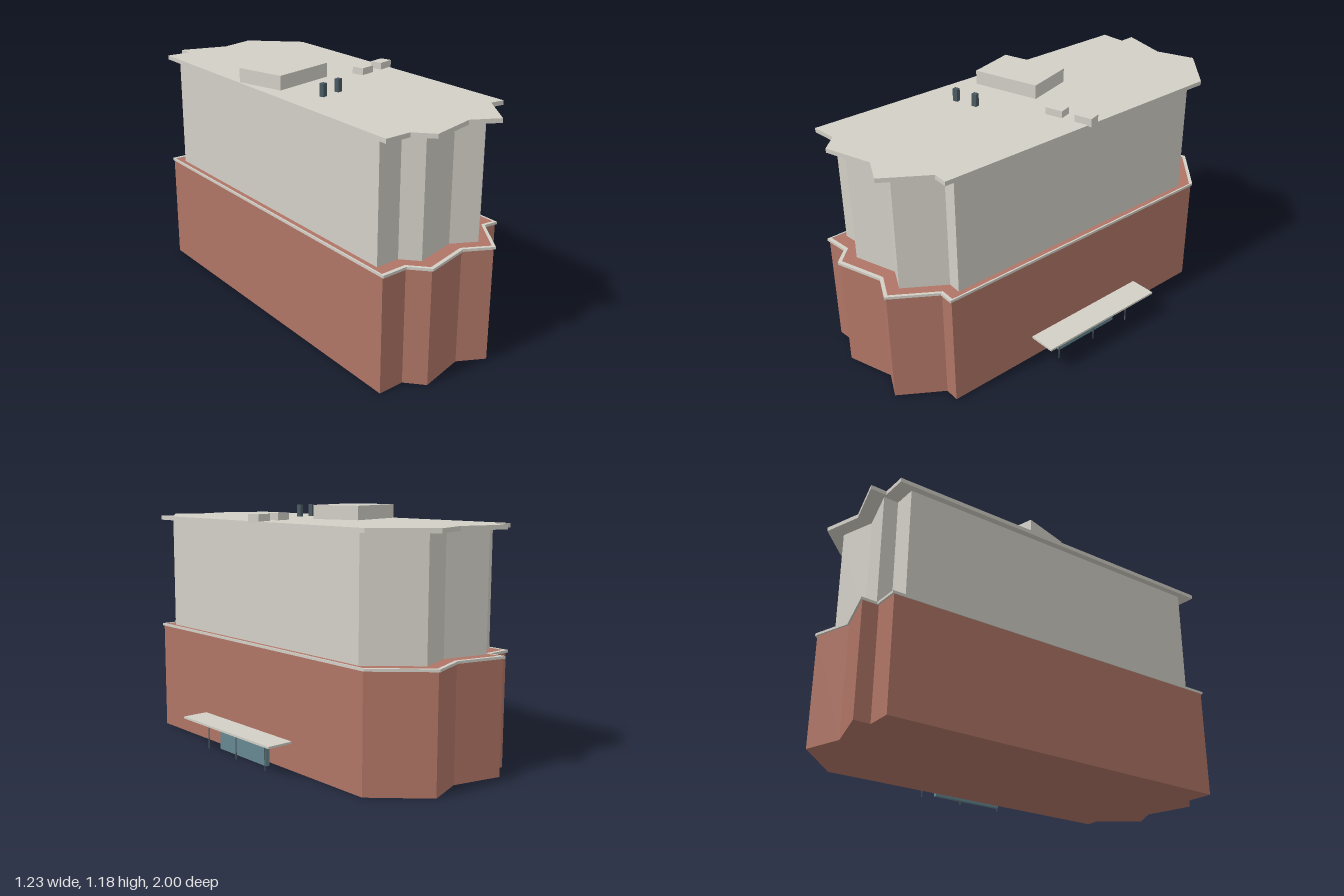
import * as THREE from 'three';

// Footprint corners as [x, z]
const PLAN = [
  [-0.612, 0.778], [-0.485, 0.803], [-0.435, 0.898], [-0.196, 0.893], [-0.09, 0.988],
  [0.09, 0.835], [0.158, 0.858], [0.578, -0.62], [0.418, -0.882], [0.224, -0.868],
  [0.01, -0.988], [-0.008, -0.912], [-0.13, -0.942],
];
const STONE = 0xd2cfc6, BRICK = 0xb07566, GLASS = 0x668790, DARK = 0x4a5a62;

const material = (color) => new THREE.MeshStandardMaterial({ color, flatShading: true });
const stone = material(STONE), brick = material(BRICK), glass = material(GLASS), dark = material(DARK);

export function createModel() {
  const model = new THREE.Group();
  model.name = 'building';

  const add = (name, geometry, mat, parent = model) => {
    const mesh = new THREE.Mesh(geometry, mat);
    mesh.name = name;
    parent.add(mesh);
    return mesh;
  };
  const outline = (scale) => PLAN.map(([x, z]) => new THREE.Vector2(x * scale, -z * scale));

  // Footprint raised from y0 to y1, optionally hollowed to a ring
  const storey = (name, scale, y0, y1, mat, holeScale) => {
    const shape = new THREE.Shape(outline(scale));
    if (holeScale) shape.holes.push(new THREE.Path(outline(holeScale)));
    const geometry = new THREE.ExtrudeGeometry(shape, { depth: y1 - y0, bevelEnabled: false });
    geometry.rotateX(-Math.PI / 2).translate(0, y0, 0);
    return add(name, geometry, mat);
  };
  // Box standing on y0
  const block = (name, x, z, w, d, y0, y1, mat, parent) => {
    const mesh = add(name, new THREE.BoxGeometry(w, y1 - y0, d), mat, parent);
    mesh.position.set(x, (y0 + y1) / 2, z);
    return mesh;
  };

  // Main volumes
  storey('brickBase', 1, 0, 0.544, brick);
  storey('ledgeBand', 1.01, 0.535, 0.547, stone, 0.99);
  storey('upperFloors', 0.92, 0.544, 1.095, stone);
  storey('roofSlab', 1.002, 1.093, 1.113, stone);

  // Roof equipment
  block('plantRoom', -0.146, -0.13, 0.338, 0.25, 1.11, 1.18, stone);
  for (const x of [0.193, 0.343]) block('roofUnit', x, 0.081, 0.085, 0.06, 1.107, 1.146, stone);
  for (const x of [-0.275, -0.168]) block('roofVent', x, 0.208, 0.025, 0.022, 1.11, 1.173, dark);

  // Entrance, aligned with the long right-hand wall
  const entrance = new THREE.Group();
  entrance.name = 'entrance';
  entrance.position.set(0.458, 0, 0.145);
  entrance.rotation.y = -0.2765;
  model.add(entrance);
  block('canopy', 0, 0, 0.13, 0.681, 0.14, 0.15, stone, entrance);
  block('glassDoors', -0.054, 0.005, 0.02, 0.368, 0, 0.13, glass, entrance);
  for (const z of [-0.224, 0, 0.226]) {
    const post = add('canopyPost', new THREE.CylinderGeometry(0.003, 0.003, 0.14, 8), dark, entrance);
    post.position.set(-0.003, 0.07, z);
  }
  return model;
}
